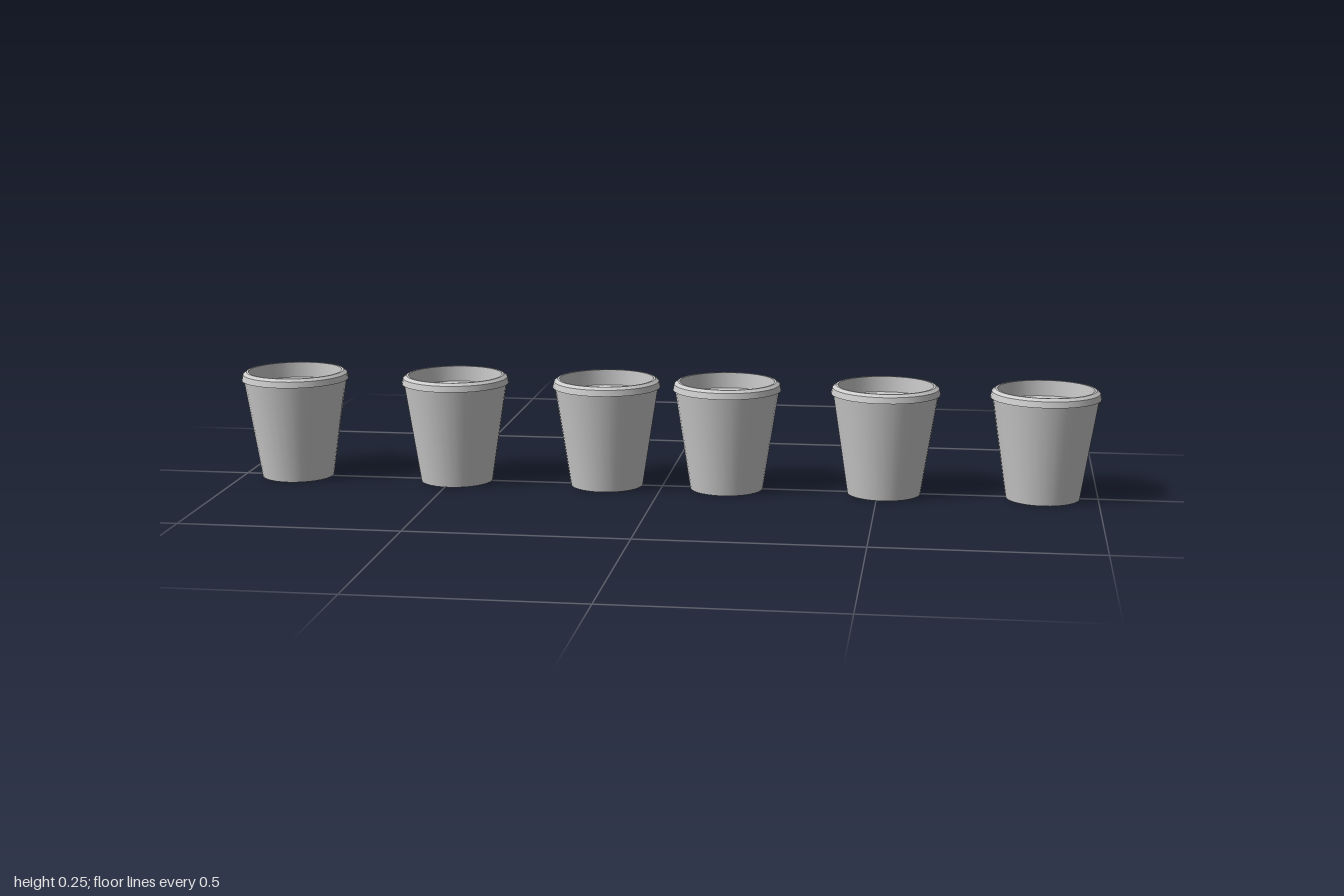
import * as THREE from 'three';
import { mergeGeometries } from 'three/addons/utils/BufferGeometryUtils.js';

const SIDES = 32;

// Revolve each band on its own, so edges between bands stay sharp
// while every band is smooth around the axis.
function bandedLathe(profile) {
  const bands = [];
  for (let i = 0; i < profile.length - 1; i++) {
    const pair = [profile[i], profile[i + 1]].map(([r, y]) => new THREE.Vector2(r, y));
    bands.push(new THREE.LatheGeometry(pair, SIDES));
  }
  return mergeGeometries(bands);
}

export function createModel() {
  const group = new THREE.Group();
  const material = new THREE.MeshStandardMaterial({ color: 0xcccccc });

  // Closed base and tapered wall, up to the underside of the rim
  const body = bandedLathe([[0, 0], [0.084, 0], [0.12, 0.232]]);
  // Overhanging rim with a chamfered top and a short inner wall
  const rim = bandedLathe([
    [0.12, 0.232], [0.125, 0.232], [0.122, 0.246],
    [0.114, 0.252], [0.109, 0.252], [0.107, 0.216],
  ]);
  // Flat surface recessed inside the rim
  const fill = bandedLathe([[0.107, 0.216], [0, 0.216]]);

  const positions = [-0.875, -0.489, -0.131, 0.15, 0.514, 0.875];
  positions.forEach((x, i) => {
    const cup = new THREE.Group();
    cup.name = `cup${i + 1}`;
    for (const [name, geometry] of Object.entries({ body, rim, fill })) {
      const mesh = new THREE.Mesh(geometry, material);
      mesh.name = name;
      cup.add(mesh);
    }
    cup.position.x = x;
    group.add(cup);
  });
  return group;
}
